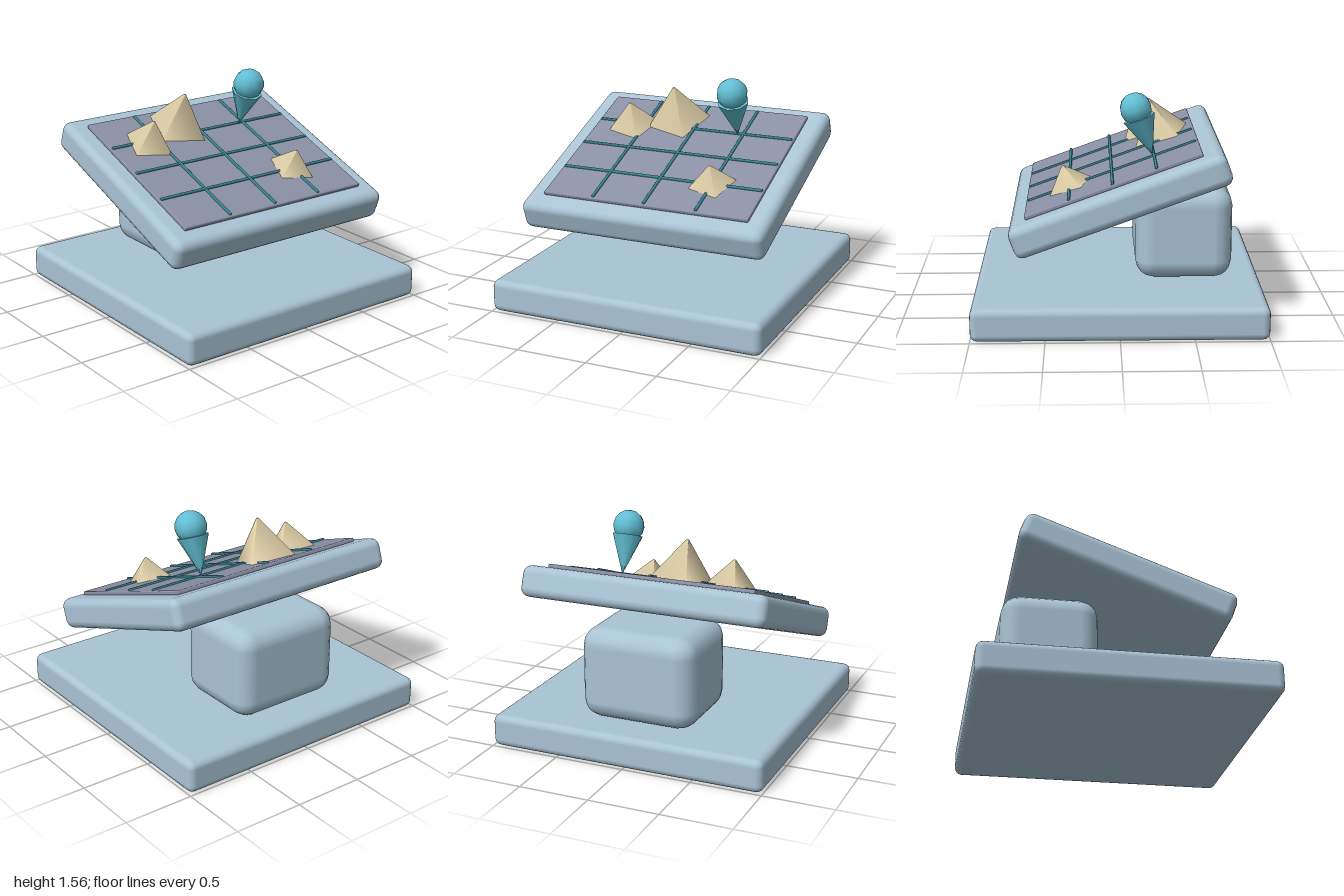
import * as THREE from 'three';
import { RoundedBoxGeometry } from 'three/addons/geometries/RoundedBoxGeometry.js';

const material = (name, color) => {
  const m = new THREE.MeshStandardMaterial({ color });
  m.name = name;
  return m;
};

export function createModel() {
  const shell = material('pale blue shell', 0xa9c4d4);
  const slate = material('slate screen', 0x8c90a5);
  const lineTeal = material('dark teal lines', 0x35818f);
  const pinTeal = material('bright teal pin', 0x62bfd4);
  const sand = material('sand', 0xdccda6);

  const model = new THREE.Group();
  model.name = 'mapTable';

  const add = (parent, name, geometry, mat, x, y, z) => {
    const mesh = new THREE.Mesh(geometry, mat);
    mesh.name = name;
    mesh.position.set(x, y, z);
    parent.add(mesh);
    return mesh;
  };

  // Base slab and the chunky support at its rear
  add(model, 'base', new RoundedBoxGeometry(2, 0.23, 2, 2, 0.05), shell, 0, 0.115, 0);
  add(model, 'support', new RoundedBoxGeometry(0.84, 0.65, 0.68, 2, 0.13), shell, 0, 0.555, -0.46);

  // Everything on the table top tilts towards the front
  const table = new THREE.Group();
  table.name = 'tiltedTable';
  table.position.y = 0.89;
  table.rotation.x = THREE.MathUtils.degToRad(20);
  model.add(table);

  add(table, 'tray', new RoundedBoxGeometry(1.8, 0.22, 1.53, 2, 0.06), shell, 0, 0, 0);
  add(table, 'screen', new RoundedBoxGeometry(1.53, 0.03, 1.26, 2, 0.01), slate, 0, 0.122, 0);

  // Grid of three lines each way
  for (const i of [-1, 0, 1]) {
    add(table, 'crossLine', new RoundedBoxGeometry(1.51, 0.02, 0.02, 2, 0.007), lineTeal, 0, 0.14, i * 0.31);
    add(table, 'lengthLine', new RoundedBoxGeometry(0.02, 0.02, 1.23, 2, 0.007), lineTeal, i * 0.385, 0.14, 0);
  }

  // Four-sided mountains: x, z, base radius, height
  const mountains = [
    [-0.15, -0.39, 0.23, 0.295],
    [-0.468, -0.275, 0.188, 0.2],
    [0.384, 0.304, 0.172, 0.158],
  ];
  for (const [x, z, radius, height] of mountains) {
    const peak = add(table, 'mountain', new THREE.CylinderGeometry(0.008, radius, height, 4),
      sand, x, 0.133 + height / 2, z);
    peak.rotation.y = 0.5;
  }

  // Marker pin: a cone standing on its tip with a ball on top
  const pin = new THREE.Group();
  pin.name = 'markerPin';
  pin.position.set(0.345, 0.137, -0.302);
  table.add(pin);
  const spike = add(pin, 'pinCone', new THREE.ConeGeometry(0.113, 0.28, 8), pinTeal, 0, 0.14, 0);
  spike.rotation.x = Math.PI;
  add(pin, 'pinBall', new THREE.SphereGeometry(0.112, 10, 8), pinTeal, 0, 0.345, 0);

  return model;
}
